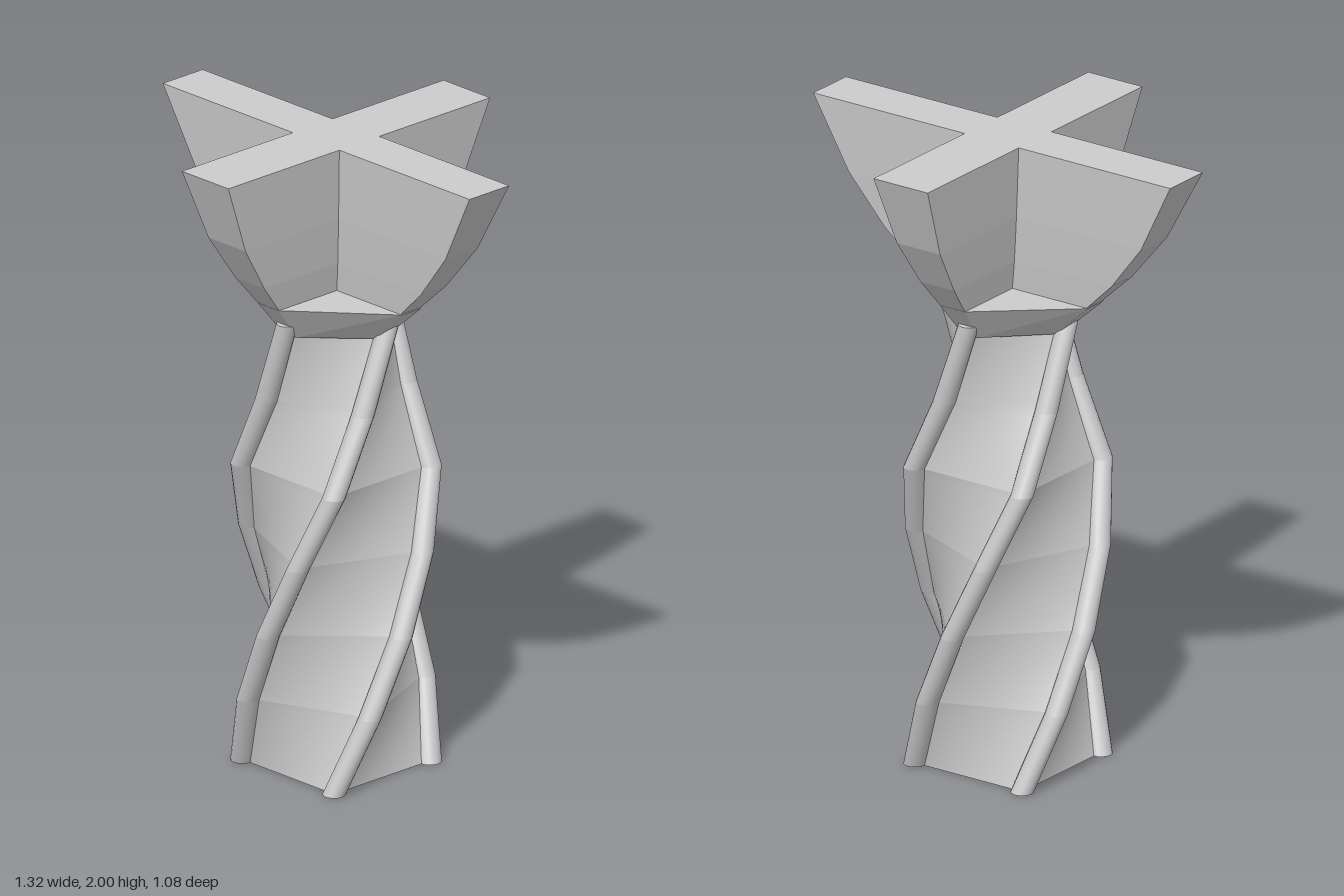
import * as THREE from 'three';
import { toCreasedNormals } from 'three/addons/utils/BufferGeometryUtils.js';

const STEP = 0.237; // height of one column segment
const RADII = [0.28, 0.28, 0.28, 0.28, 0.28, 0.222, 0.213];

// Corner c of the twisting square at a given level
function corner(c, level) {
  const t = -Math.PI / 4 + c * Math.PI / 2 + level * Math.PI / 8;
  return new THREE.Vector3(RADII[level] * Math.sin(t), level * STEP, RADII[level] * Math.cos(t));
}

// Skin over rings of points (anticlockwise from above), closed at both ends
function loft(rings, crease) {
  const pos = [];
  const tri = (...pts) => pts.forEach((p) => pos.push(p.x, p.y, p.z));
  const n = rings[0].length;
  for (let r = 0; r < rings.length - 1; r++) {
    const a = rings[r], b = rings[r + 1];
    for (let i = 0; i < n; i++) {
      const j = (i + 1) % n;
      tri(a[i], a[j], b[j]);
      tri(a[i], b[j], b[i]);
    }
  }
  const bottom = rings[0], top = rings[rings.length - 1];
  const low = new THREE.Vector3(0, bottom[0].y, 0);
  const high = new THREE.Vector3(0, top[0].y, 0);
  for (let i = 0; i < n; i++) {
    const j = (i + 1) % n;
    tri(low, bottom[j], bottom[i]);
    tri(high, top[i], top[j]);
  }
  const g = new THREE.BufferGeometry();
  g.setAttribute('position', new THREE.Float32BufferAttribute(pos, 3));
  g.computeVertexNormals();
  return crease ? toCreasedNormals(g, crease) : g;
}

// Square ring part-way between two levels, with subdivided sides
function columnRing(level, f, sides = 8) {
  const pts = [0, 1, 2, 3].map((c) => corner(c, level).lerp(corner(c, level + 1), f));
  return pts.flatMap((p, c) => Array.from({ length: sides },
    (_, k) => p.clone().lerp(pts[(c + 1) % 4], k / sides)));
}

// Cross outline: arm reach a (x) and b (z), half widths wx and wz
function crossRing({ y, a, b, wx, wz }) {
  return [[-wx, b], [wx, b], [wx, wz], [a, wz], [a, -wz], [wx, -wz],
    [wx, -b], [-wx, -b], [-wx, -wz], [-a, -wz], [-a, wz], [-wx, wz]]
    .map(([x, z]) => new THREE.Vector3(x, y, z));
}

export function createModel() {
  const group = new THREE.Group();
  const material = new THREE.MeshStandardMaterial({ color: 0xcccccc });
  const add = (name, geometry, parent = group) => {
    const mesh = new THREE.Mesh(geometry, material);
    mesh.name = name;
    parent.add(mesh);
  };

  // Twisted square column, one block per segment
  const column = new THREE.Group();
  column.name = 'twistedColumn';
  group.add(column);
  for (let level = 0; level < 6; level++) {
    const rings = Array.from({ length: 9 }, (_, k) => columnRing(level, k / 8));
    add('columnSegment', loft(rings, 0.15), column);
  }

  // Round rods following the four corners, sheared to keep level ends
  const rods = new THREE.Group();
  rods.name = 'cornerRods';
  group.add(rods);
  for (let c = 0; c < 4; c++) {
    for (let level = 0; level < 6; level++) {
      const from = corner(c, level), to = corner(c, level + 1);
      if (level === 5) to.lerp(from, -0.15); // run on into the crown
      const g = new THREE.CylinderGeometry(level === 5 ? 0.032 : 0.035, 0.035, to.y - from.y, 16);
      const p = g.attributes.position;
      const mid = from.clone().add(to).multiplyScalar(0.5);
      for (let i = 0; i < p.count; i++) {
        const f = p.getY(i) / (to.y - from.y);
        p.setXYZ(i, p.getX(i) + mid.x + f * (to.x - from.x), p.getY(i) + mid.y,
          p.getZ(i) + mid.z + f * (to.z - from.z));
      }
      g.computeVertexNormals();
      add('rodSegment', g, rods);
    }
  }

  // Flared collar: a diamond with clipped corners
  const collar = [
    { y: 1.41, a: 0.2, b: 0.19, wx: 0.03, wz: 0.025 },
    { y: 1.525, a: 0.325, b: 0.28, wx: 0.045, wz: 0.04 },
  ].map((s) => crossRing(s).filter((_, i) => i % 3 !== 2));
  add('collar', loft(collar));

  // Cross-shaped crown with curved, widening arms
  const crown = [
    { y: 1.52, a: 0.315, b: 0.275, wx: 0.045, wz: 0.04 },
    { y: 1.62, a: 0.42, b: 0.355, wx: 0.062, wz: 0.052 },
    { y: 1.77, a: 0.54, b: 0.45, wx: 0.08, wz: 0.066 },
    { y: 2, a: 0.66, b: 0.54, wx: 0.1, wz: 0.082 },
  ].map(crossRing);
  add('crossCrown', loft(crown));

  return group;
}
